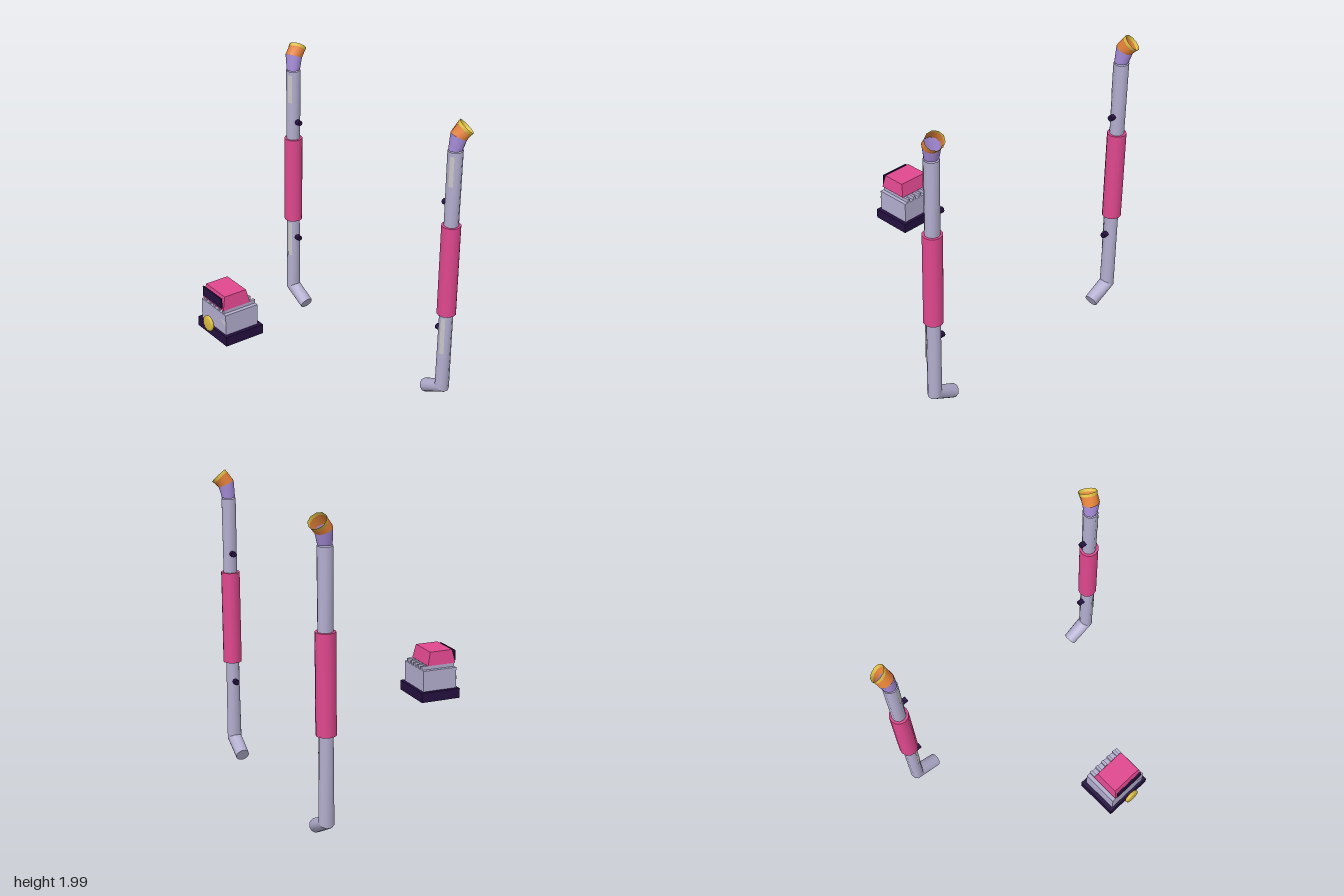
import * as THREE from 'three';

const mat = (name, color, side = THREE.FrontSide) => {
  const m = new THREE.MeshStandardMaterial({ color, side });
  m.name = name;
  return m;
};

export function createModel() {
  const root = new THREE.Group();
  root.name = 'pipesAndCar';
  const D = THREE.DoubleSide;
  const lavender = mat('lavenderGrey', 0xb4afd0, D);
  const pink = mat('pink', 0xe0488f);
  const purple = mat('purple', 0xa98fdc, D);
  const orange = mat('orange', 0xe07f38, D);
  const yellow = mat('yellow', 0xdcbe42, D);
  const dark = mat('darkViolet', 0x24103f);
  const worn = mat('wornCream', 0xc9c6c8, D);

  const add = (parent, name, geo, material, x = 0, y = 0, z = 0) => {
    const m = new THREE.Mesh(geo, material);
    m.name = name;
    m.position.set(x, y, z);
    parent.add(m);
    return m;
  };
  const box = (parent, name, material, x0, x1, y0, y1, z0, z1) =>
    add(parent, name, new THREE.BoxGeometry(x1 - x0, y1 - y0, z1 - z0), material,
      (x0 + x1) / 2, (y0 + y1) / 2, (z0 + z1) / 2);

  // Tube through tilted rings, each ring { c: centre, n: normal, r: radius }
  const SIDES = 10;
  const loft = (rings, s, capStart = false) => {
    const pos = [], idx = [];
    const ring = ({ c, n, r }) => {
      const N = new THREE.Vector3(n[0] * s, n[1], n[2]).normalize();
      const U = new THREE.Vector3(0, 0, 1).addScaledVector(N, -N.z).normalize();
      const V = N.clone().cross(U);
      for (let i = 0; i < SIDES; i++) {
        const a = (i / SIDES) * Math.PI * 2;
        const p = new THREE.Vector3(c[0] * s, c[1], c[2])
          .addScaledVector(U, r * Math.cos(a)).addScaledVector(V, r * Math.sin(a));
        pos.push(p.x, p.y, p.z);
      }
    };
    rings.forEach(ring);
    for (let j = 0; j < rings.length - 1; j++) {
      for (let i = 0; i < SIDES; i++) {
        const k = (i + 1) % SIDES;
        const a = j * SIDES + i, b = j * SIDES + k;
        idx.push(a, b, b + SIDES, a, b + SIDES, a + SIDES);
      }
    }
    if (capStart) {
      const o = pos.length / 3;
      ring(rings[0]);
      for (let i = 1; i < SIDES - 1; i++) idx.push(o, o + i + 1, o + i);
    }
    const g = new THREE.BufferGeometry();
    g.setAttribute('position', new THREE.Float32BufferAttribute(pos, 3));
    g.setIndex(idx);
    g.computeVertexNormals();
    return g;
  };

  // Pair of tall pipes
  const X = 0.825, Z = -0.577;
  const up = [0, 1, 0], tilt = [0.38, 0.72, -0.58];
  const foot = { c: [0.662, 0.05, Z], n: [0.9, 0.44, 0], r: 0.046 };
  const elbow = { c: [0.822, 0.132, Z], n: [0.53, 0.85, 0], r: 0.05 };
  const neck = { c: [X, 1.81, Z], n: up, r: 0.045 };
  const bend = { c: [0.835, 1.9, -0.588], n: [0.18, 0.9, -0.38], r: 0.057 };
  const collar = { c: [0.844, 1.94, -0.619], n: tilt, r: 0.057 };
  const rim = { c: [0.851, 1.955, -0.633], n: tilt, r: 0.06 };
  for (const s of [1, -1]) {
    const pipe = new THREE.Group();
    pipe.name = s > 0 ? 'leftPipe' : 'rightPipe';
    root.add(pipe);
    add(pipe, 'pipeFoot', loft([foot, elbow], s, true), lavender);
    add(pipe, 'lowerShaft', loft([elbow, { c: [X, 0.7, Z], n: up, r: 0.045 }], s), lavender);
    add(pipe, 'upperShaft', loft([{ c: [X, 1.28, Z], n: up, r: 0.047 },
      { c: [X, 1.805, Z], n: up, r: 0.049 }], s), lavender);
    add(pipe, 'neck', loft([neck, bend], s), purple);
    add(pipe, 'nozzle', loft([bend, collar], s), orange);
    add(pipe, 'nozzleRim', loft([collar, rim], s), yellow);
    add(pipe, 'sleeve', new THREE.CylinderGeometry(0.063, 0.063, 0.625, 12), pink, s * X, 0.992, Z);
    for (const y of [0.545, 1.437]) {
      add(pipe, 'bracket', new THREE.CylinderGeometry(0.019, 0.019, 0.04, 8).rotateZ(Math.PI / 2),
        dark, s * 0.765, y, Z);
    }
    // Worn paint strips on the front of the shaft
    for (const [y, h] of [[1.68, 0.2], [0.53, 0.26]]) {
      add(pipe, 'wornStrip', new THREE.CylinderGeometry(0.05, 0.05, h, 3, 1, true, 0.15, 0.6),
        worn, s * X, y, Z);
    }
  }

  // Small car: base, body, roof ribs
  const car = new THREE.Group();
  car.name = 'car';
  root.add(car);
  box(car, 'base', dark, -0.163, 0.163, 0.545, 0.61, 0.378, 0.655);
  box(car, 'body', lavender, -0.137, 0.137, 0.61, 0.75, 0.4, 0.64);
  for (let i = -2; i <= 2; i++) {
    box(car, 'rib', lavender, i * 0.051 - 0.009, i * 0.051 + 0.009, 0.75, 0.775, 0.4, 0.635);
  }

  // Tapered cab
  const cab = new THREE.BoxGeometry(0.234, 0.09, 0.2);
  const p = cab.attributes.position;
  for (let i = 0; i < p.count; i++) {
    if (p.getY(i) > 0) p.setXYZ(i, p.getX(i) * 0.9, p.getY(i), p.getZ(i) * 0.8);
  }
  cab.computeVertexNormals();
  add(car, 'cab', cab, pink, 0, 0.82, 0.543);
  box(car, 'windscreen', dark, -0.104, 0.104, 0.79, 0.857, 0.641, 0.65);

  // Worn patch on the body front
  const patch = new THREE.Shape([[0.075, 0.705], [0.137, 0.708], [0.137, 0.67], [0.11, 0.68]]
    .map(([x, y]) => new THREE.Vector2(x, y)));
  add(car, 'wornPatch', new THREE.ShapeGeometry(patch), worn, 0, 0, 0.642);

  // Round lamp in front of the body
  const lamp = [[0, -0.013], [0.045, -0.012], [0.052, -0.006], [0.052, 0.006], [0.045, 0.012], [0, 0.013]]
    .map(([r, y]) => new THREE.Vector2(r, y));
  add(car, 'lamp', new THREE.LatheGeometry(lamp, 12).rotateX(Math.PI / 2), yellow, 0, 0.645, 0.68);

  return root;
}
